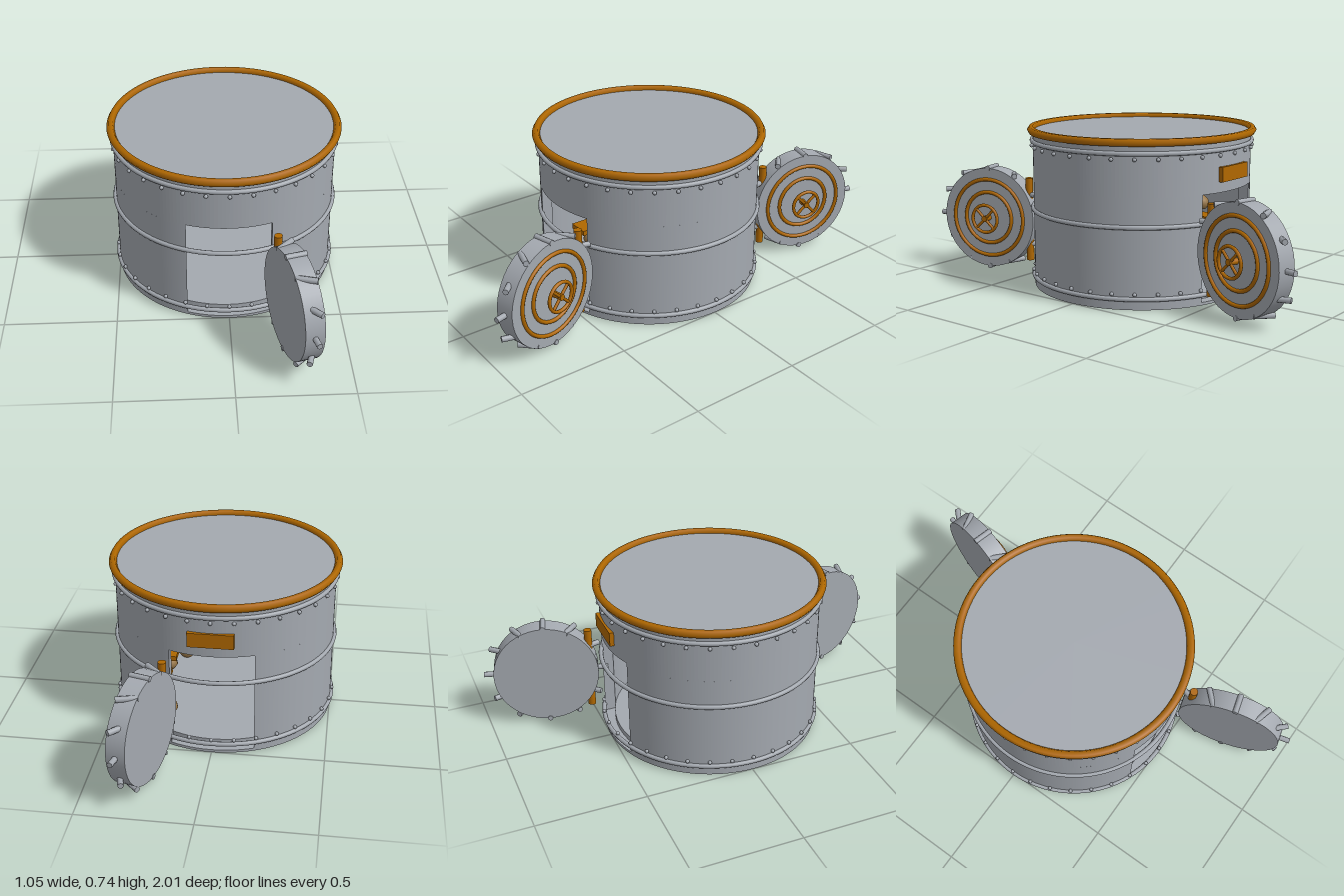
import * as THREE from 'three';

const mat = (name, color) => {
  const m = new THREE.MeshStandardMaterial({ color });
  m.name = name;
  return m;
};

export function createModel() {
  const steel = mat('steel', 0xa4a9b0);
  const gold = mat('dark gold', 0xb06800);
  const sackCloth = mat('sack cloth', 0x9a7848);
  const paleTile = mat('pale tile', 0xbcb39e);
  const darkTile = mat('dark tile', 0x333333);
  const root = new THREE.Group();
  root.name = 'vault';

  const add = (parent, name, geo, material, x = 0, y = 0, z = 0) => {
    const m = new THREE.Mesh(geo, material);
    m.name = name;
    m.position.set(x, y, z);
    parent.add(m);
    return m;
  };
  const group = (name, parent, x = 0, y = 0, z = 0) => {
    const g = new THREE.Group();
    g.name = name;
    g.position.set(x, y, z);
    parent.add(g);
    return g;
  };

  const R = 0.502, INNER = 0.455, HALF = 0.185;
  const DOOR_TOP = 0.49, SILL = 0.015, TOP = 0.712;

  // Wall: a full band above the doorways, two curved sides with parallel jambs below
  const extrudeUp = (shape, y0, y1) => new THREE.ExtrudeGeometry(shape,
    { depth: y1 - y0, bevelEnabled: false, curveSegments: 96 }).rotateX(-Math.PI / 2).translate(0, y0, 0);
  const band = new THREE.Shape().absarc(0, 0, R, 0, Math.PI * 2);
  band.holes.push(new THREE.Path().absarc(0, 0, INNER, 0, Math.PI * 2, true));
  add(root, 'upperWall', extrudeUp(band, DOOR_TOP, TOP), steel);
  const aOut = Math.acos(HALF / R), aIn = Math.acos(HALF / INNER);
  for (const [name, turn] of [['leftWall', 0], ['rightWall', Math.PI]]) {
    const side = new THREE.Shape();
    side.absarc(0, 0, R, turn - aOut, turn + aOut, false);
    side.absarc(0, 0, INNER, turn + aIn, turn - aIn, true);
    add(root, name, extrudeUp(side, SILL, DOOR_TOP), steel);
  }

  // Base, inner floor and lid
  add(root, 'base', new THREE.CylinderGeometry(R, R, SILL - 0.002, 96), steel, 0, SILL / 2 + 0.001);
  add(root, 'innerFloor', new THREE.CylinderGeometry(INNER, INNER, 0.025, 64), steel, 0, SILL + 0.0125);
  add(root, 'lid', new THREE.CylinderGeometry(R, R, 0.014, 96), steel, 0, TOP + 0.003);

  // Patch of chequered tiles on the underside
  const tile = 0.07;
  const tileGeo = new THREE.BoxGeometry(tile, 0.004, tile);
  for (let i = -6; i <= 6; i++)
    for (let j = 0; j <= 6; j++) {
      const x = i * tile, z = j * tile;
      const depth = 0.866 * z - 0.5 * x, across = 0.866 * x + 0.5 * z;
      if (depth > 0.18 && Math.abs(across) < 0.27 && Math.hypot(x, z) < 0.42)
        add(root, 'underTile', tileGeo, (i + j) % 2 ? darkTile : paleTile, x, 0.002, z);
    }

  // Hoops and the heavy gold rim
  for (const y of [0.05, 0.363, 0.677])
    add(root, 'hoop', new THREE.TorusGeometry(0.506, 0.0105, 8, 96).rotateX(Math.PI / 2), steel, 0, y);
  add(root, 'goldRim', new THREE.TorusGeometry(0.509, 0.018, 6, 96).rotateX(Math.PI / 2), gold, 0, 0.725);

  // Two rows of rivets
  const rivetGeo = new THREE.SphereGeometry(0.009, 10, 8);
  for (const y of [0.071, 0.653])
    for (let i = 0; i < 32; i++) {
      const a = i / 32 * Math.PI * 2;
      add(root, 'rivet', rivetGeo, steel, 0.508 * Math.sin(a), y, 0.508 * Math.cos(a));
    }

  // Plate above the back doorway
  add(root, 'backPlate', new THREE.BoxGeometry(0.2, 0.066, 0.026), gold, 0, 0.57, -0.499);

  // Round doors, standing open
  const T = 0.086, FACE = T / 2, DOOR_R = 0.243;
  const makeDoor = (name, z, angle) => {
    const door = group(name, root, 0.257, 0.262, z);
    door.rotation.y = angle;
    add(door, 'doorDisc', new THREE.CylinderGeometry(DOOR_R, DOOR_R, T, 48).rotateX(Math.PI / 2), steel);
    for (let i = 0; i < 12; i++) {
      const a = i / 12 * Math.PI * 2;
      const bolt = add(door, 'doorBolt', new THREE.CylinderGeometry(0.013, 0.013, 0.092, 8).rotateZ(Math.PI / 2),
        steel, DOOR_R * Math.cos(a), DOOR_R * Math.sin(a), 0);
      bolt.rotation.y = -a;
    }
    for (const r of [0.188, 0.125])
      add(door, 'doorRing', new THREE.TorusGeometry(r, 0.009, 8, 64), gold, 0, 0, FACE + 0.002);
    // Hand wheel on its axle
    const wheel = group('handWheel', door, 0, 0, FACE + 0.038);
    add(wheel, 'wheelRim', new THREE.TorusGeometry(0.067, 0.008, 8, 40), gold);
    for (const a of [Math.PI / 4, -Math.PI / 4])
      add(wheel, 'spoke', new THREE.CylinderGeometry(0.007, 0.007, 0.134, 8), gold).rotation.z = a;
    add(wheel, 'axle', new THREE.CylinderGeometry(0.014, 0.014, 0.048, 12).rotateX(Math.PI / 2), gold, 0, 0, -0.014);
  };
  makeDoor('frontDoor', 0.722, Math.PI * 105 / 180);
  makeDoor('backDoor', -0.722, Math.PI * 75 / 180);

  // Hinge posts
  for (const z of [0.526, -0.526])
    add(root, 'hingePost', new THREE.CylinderGeometry(0.018, 0.018, 0.405, 16), gold, 0.205, 0.262, z);

  // Treasure along both side walls: sacks on gold slabs, with a loose sack beside each stack
  const sackGeo = new THREE.LatheGeometry([
    [0, -0.038], [0.026, -0.036], [0.042, -0.014], [0.037, 0.01], [0.02, 0.026], [0.01, 0.032], [0.02, 0.048], [0, 0.048],
  ].map(p => new THREE.Vector2(...p)), 16);
  const slabGeo = new THREE.BoxGeometry(0.1, 0.025, 0.16);
  for (const sx of [1, -1])
    for (const sz of [1, -1]) {
      const stack = group('treasureStack', root, sx * 0.3, 0.04, sz * 0.13);
      for (let level = 0; level < 3; level++) {
        const y = level * 0.136;
        add(stack, 'sack', sackGeo, sackCloth, 0, y + 0.038);
        add(stack, 'goldSlab', slabGeo, gold, 0, y + 0.0985);
      }
      add(root, 'looseSack', sackGeo, sackCloth, sx * 0.232, 0.078, sz * 0.26);
    }

  return root;
}
